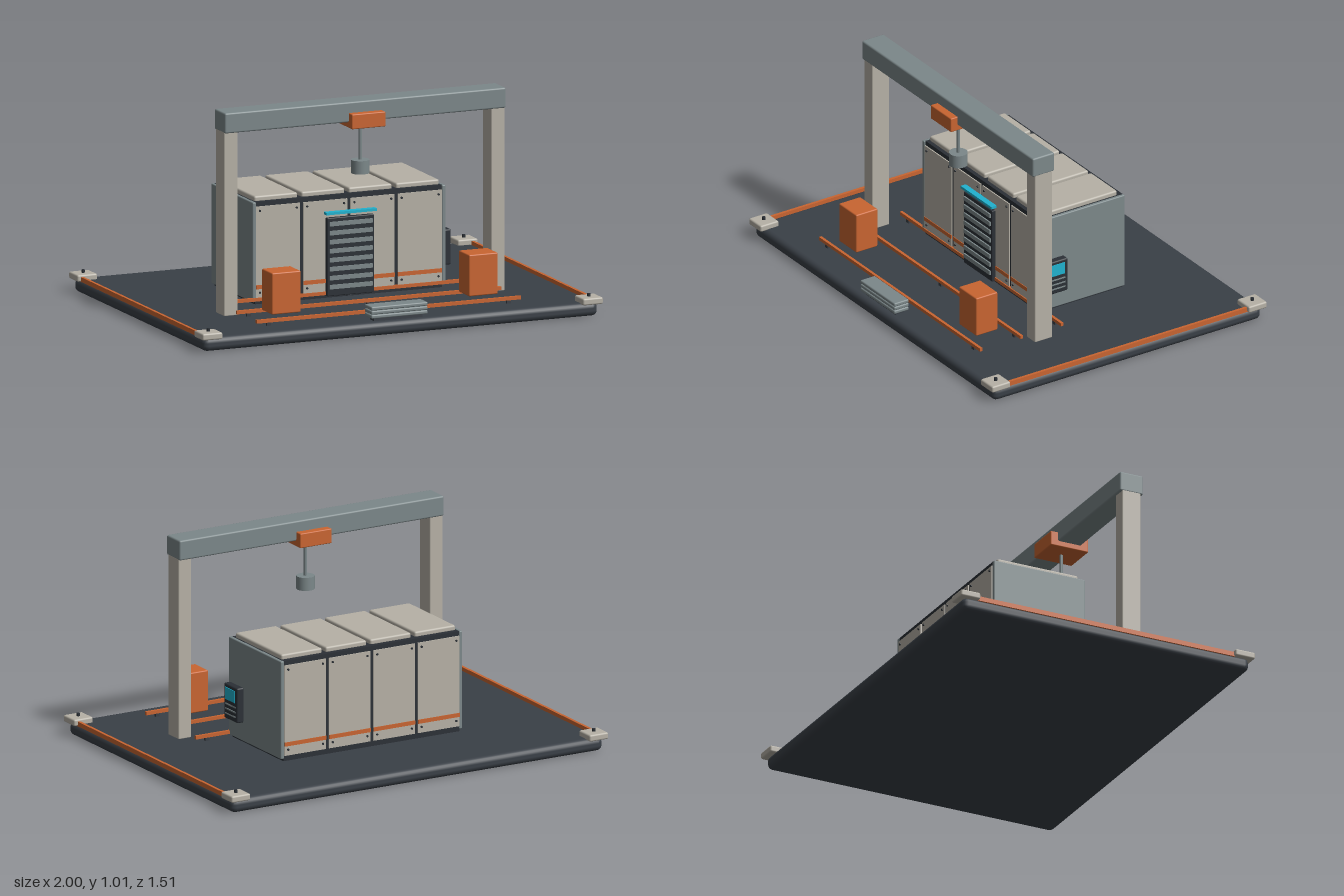
import * as THREE from 'three';
import { RoundedBoxGeometry } from 'three/addons/geometries/RoundedBoxGeometry.js';

export function createModel() {
  const model = new THREE.Group();
  const mat = (name, color) => {
    const m = new THREE.MeshStandardMaterial({ color });
    m.name = name;
    return m;
  };
  const dark = mat('charcoal', 0x3a4047);
  const black = mat('darkTrim', 0x2b3036);
  const beige = mat('warmGrey', 0xb6b1a6);
  const steel = mat('steelGrey', 0x7c888a);
  const orange = mat('orange', 0xc96531);
  const cyan = mat('cyan', 0x20b2cf);

  // Box given by its minimum and maximum corners, optionally with rounded edges
  const box = (name, material, x, y, z, radius = 0, parent = model) => {
    const size = [x[1] - x[0], y[1] - y[0], z[1] - z[0]];
    const geometry = radius
      ? new RoundedBoxGeometry(...size, 2, radius)
      : new THREE.BoxGeometry(...size);
    const mesh = new THREE.Mesh(geometry, material);
    mesh.name = name;
    mesh.position.set((x[0] + x[1]) / 2, (y[0] + y[1]) / 2, (z[0] + z[1]) / 2);
    parent.add(mesh);
    return mesh;
  };
  const cylinder = (name, material, r, h, x, y, z, parent = model) => {
    const mesh = new THREE.Mesh(new THREE.CylinderGeometry(r, r, h, 24), material);
    mesh.name = name;
    mesh.position.set(x, y, z);
    parent.add(mesh);
    return mesh;
  };
  const group = (name) => {
    const g = new THREE.Group();
    g.name = name;
    model.add(g);
    return g;
  };

  // Base slab with corner pads and side strips
  box('base', dark, [-0.985, 0.985], [0, 0.064], [-0.735, 0.735], 0.026);
  for (const sx of [-1, 1]) {
    for (const sz of [-1, 1]) {
      const x = sx * 0.95, z = sz * 0.705;
      box('cornerPad', beige, [x - 0.05, x + 0.05], [0.058, 0.09], [z - 0.05, z + 0.05], 0.008);
      cylinder('cornerBolt', black, 0.008, 0.015, x, 0.096, z);
    }
    const x = sx * 0.975;
    box('sideStrip', orange, [x - 0.007, x + 0.007], [0.058, 0.08], [-0.66, 0.66]);
  }

  // Floor rails on small sleepers
  for (const z of [0.145, 0.368, 0.59]) {
    box('floorRail', orange, [-0.66, 0.66], [0.079, 0.095], [z - 0.007, z + 0.007]);
    for (const x of [-0.6, 0, 0.6]) {
      box('railSupport', dark, [x - 0.01, x + 0.01], [0.06, 0.08], [z - 0.006, z + 0.006]);
    }
  }

  // Cabin: dark core, steel end walls
  const cabin = group('cabin');
  box('cabinCore', black, [-0.467, 0.467], [0.062, 0.541], [-0.317, 0.141], 0, cabin);
  for (const s of [-1, 1]) {
    const x = s * 0.473;
    box('endWall', steel, [x - 0.009, x + 0.009], [0.075, 0.541], [-0.32, 0.149], 0.005, cabin);
  }

  // Four bays of wall and roof panels
  for (let i = 0; i < 4; i++) {
    const x = (i - 1.5) * 0.236;
    const w = 0.108;
    box('roofPanel', beige, [x - w, x + w], [0.535, 0.564], [-0.292, 0.122], 0.009, cabin);
    for (const [z, s] of [[0.141, 1], [-0.317, -1]]) {
      const span = (a, b) => [z + s * a, z + s * b].sort((p, q) => p - q);
      box('wallPanel', beige, [x - 0.11, x + 0.11], [0.09, 0.52], span(-0.005, 0.006), 0, cabin);
      box('wallStripe', orange, [x - 0.11, x + 0.11], [0.135, 0.154], span(0.004, 0.009), 0, cabin);
      for (const dx of [-0.092, 0.092]) {
        for (const y of [0.118, 0.5]) {
          const bolt = cylinder('panelBolt', black, 0.005, 0.008, x + dx, y, z + s * 0.007, cabin);
          bolt.rotation.x = Math.PI / 2;
        }
      }
    }
  }

  // Slatted shutter with a light bar
  const shutter = group('shutter');
  box('shutterFrame', black, [-0.117, 0.117], [0.075, 0.44], [0.14, 0.166], 0.004, shutter);
  for (let i = 0; i < 8; i++) {
    const y = 0.118 + i * 0.042;
    box('shutterSlat', steel, [-0.107, 0.107], [y - 0.01, y + 0.01], [0.164, 0.173], 0, shutter);
  }
  box('lightBar', cyan, [-0.126, 0.126], [0.456, 0.468], [0.145, 0.176], 0, shutter);

  // Control box on the left end wall
  const control = group('controlBox');
  box('controlCase', black, [0.478, 0.515], [0.164, 0.33], [0.016, 0.136], 0.007, control);
  box('controlScreen', cyan, [0.512, 0.518], [0.257, 0.314], [0.035, 0.119], 0, control);
  for (let i = 0; i < 3; i++) {
    const y = 0.19 + i * 0.023;
    box('controlKeys', steel, [0.512, 0.518], [y - 0.003, y + 0.003], [0.03, 0.122], 0, control);
  }

  // Gantry with trolley and hoist
  const gantry = group('gantry');
  for (const s of [-1, 1]) {
    const x = s * 0.667;
    box('gantryLeg', beige, [x - 0.034, x + 0.034], [0.062, 0.925], [0.226, 0.321], 0.005, gantry);
  }
  box('gantryBeam', steel, [-0.702, 0.702], [0.917, 1.012], [0.214, 0.333], 0.008, gantry);
  box('trolley', orange, [-0.084, 0.084], [0.891, 0.961], [0.177, 0.37], 0.005, gantry);
  cylinder('hoistRod', steel, 0.008, 0.18, 0, 0.805, 0.273, gantry);
  cylinder('hoistWeight', steel, 0.043, 0.062, 0, 0.695, 0.273, gantry);

  // Two carts above the rails
  for (const s of [-1, 1]) {
    const x = s * 0.492;
    box('cart', orange, [x - 0.072, x + 0.072], [0.103, 0.297], [0.434, 0.552], 0.006);
  }

  // Stack of steel plates at the front
  for (let i = 0; i < 3; i++) {
    const y = 0.079 + i * 0.019;
    box('stackedPlate', steel, [-0.141, 0.141], [y, y + 0.018], [0.638, 0.718], 0.006);
  }
  box('stackFoot', dark, [-0.12, 0.12], [0.06, 0.081], [0.655, 0.7]);

  return model;
}
